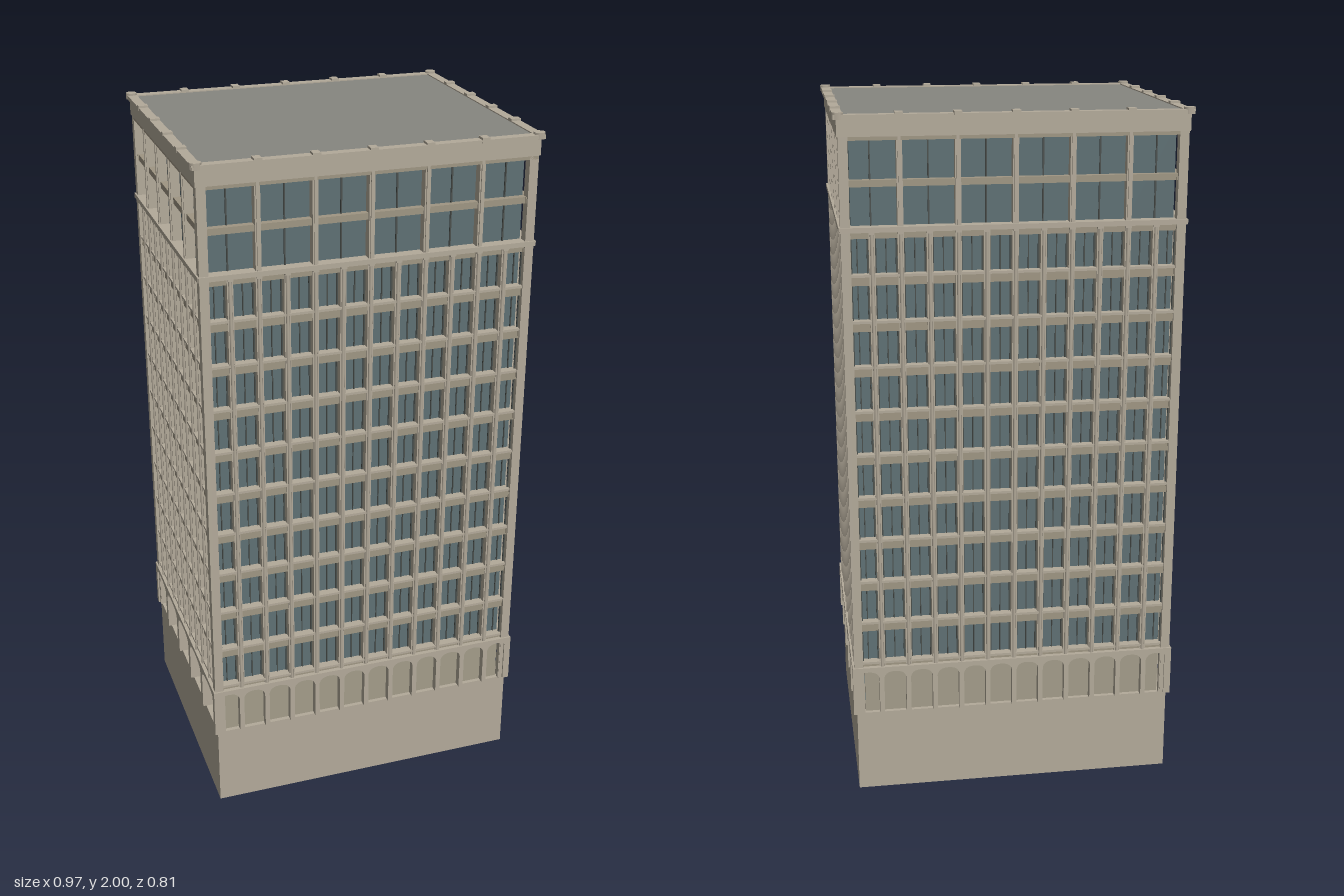
import * as THREE from 'three';

const mat = (color, side = THREE.FrontSide) => new THREE.MeshStandardMaterial({ color, side });
const stone = mat(0xb3aa9a), trim = mat(0x9f9683), infill = mat(0xa39c8a);
const glass = mat(0x5f7074), sash = mat(0x4a4f4c), roofGrey = mat(0x868680);

// Half extents of the pier faces, and how far the glass sits behind them
const HX = 0.472, HZ = 0.392, RECESS = 0.028;
const FLOOR = 0.128, TOP_BAND = 1.68, PLINTH = 0.25, ARCADE_TOP = 0.4;

function box(parent, name, material, w, h, d, x, y, z) {
  const mesh = new THREE.Mesh(new THREE.BoxGeometry(w, h, d), material);
  mesh.name = name;
  mesh.position.set(x, y, z);
  parent.add(mesh);
  return mesh;
}

// Ground arcade: a wall with a row of segmental arches cut up from its foot
function arcadeWall(width, arches, pier) {
  const pitch = width / arches, s = new THREE.Shape();
  s.moveTo(-width / 2, ARCADE_TOP);
  s.lineTo(-width / 2, PLINTH);
  for (let i = 0; i < arches; i++) {
    const a = -width / 2 + i * pitch + pier / 2, b = a + pitch - pier;
    s.lineTo(a, PLINTH);
    s.lineTo(a, 0.365);
    s.quadraticCurveTo(a + 0.004, 0.386, (a + b) / 2, 0.386);
    s.quadraticCurveTo(b - 0.004, 0.386, b, 0.365);
    s.lineTo(b, PLINTH);
  }
  s.lineTo(width / 2, PLINTH);
  s.lineTo(width / 2, ARCADE_TOP);
  return new THREE.ExtrudeGeometry(s, { depth: RECESS + 0.006, bevelEnabled: false, curveSegments: 5 });
}

// One facade, its pier faces lying on local z = 0 and looking along +z
function facade(half, bays, solidArcade) {
  const g = new THREE.Group();
  const width = half * 2, pitch = (width - 0.008) / bays;
  const mid = (TOP_BAND + ARCADE_TOP) / 2, shaft = TOP_BAND - ARCADE_TOP;

  // Arcade
  const arcade = new THREE.Mesh(
    arcadeWall(width, solidArcade ? bays : bays / 2, solidArcade ? 0.014 : 0.022), stone);
  arcade.name = 'arcade';
  arcade.position.z = -RECESS;
  g.add(arcade);
  if (solidArcade) box(g, 'arcadeInfill', infill, width - 0.06, 0.15, 0.01, 0, 0.325, -0.021);

  // Floor bands with a thin sill lip
  for (let k = 0; k <= 10; k++) {
    const y = TOP_BAND - k * FLOOR;
    box(g, 'spandrel', trim, width - 0.01, 0.03, 0.02, 0, y, -0.017);
    box(g, 'sill', stone, width - 0.01, 0.007, 0.025, 0, y + 0.012, -0.0145);
  }

  // Narrow piers, each with a rounded shaft on its face
  for (let i = 1; i < bays; i++) {
    const x = (i - bays / 2) * pitch;
    box(g, 'pier', stone, 0.017, shaft, RECESS - 0.004, x, mid, -0.016);
    const colonette = new THREE.Mesh(new THREE.CylinderGeometry(0.005, 0.005, shaft, 8), stone);
    colonette.name = 'colonette';
    colonette.position.set(x, mid, -0.003);
    g.add(colonette);
    box(g, 'pierCap', stone, 0.016, 0.014, 0.014, x, TOP_BAND + 0.004, -0.003);
    if (i % 2 && !solidArcade) box(g, 'arcadeMullion', stone, 0.008, 0.14, 0.016, x, 0.32, -0.019);
  }

  // Window sashes
  for (let i = 0; i < bays; i++) {
    const x = (i + 0.5 - bays / 2) * pitch;
    box(g, 'windowMullion', sash, 0.003, shaft, 0.004, x, mid, -RECESS + 0.002);
    for (const e of [-1, 1]) {
      box(g, 'windowFrame', sash, 0.004, shaft, 0.005, x + e * (pitch / 2 - 0.011), mid, -RECESS + 0.002);
    }
  }

  // Tall top storey
  box(g, 'topStoreyLedge', stone, width + 0.008, 0.014, 0.034, 0, 1.69, -0.011);
  box(g, 'topTransom', trim, width - 0.01, 0.018, 0.02, 0, 1.812, -0.018);
  for (let i = 0; i <= bays; i++) {
    const x = (i - bays / 2) * pitch;
    if (i % 2) {
      box(g, 'topMullion', sash, 0.004, 0.25, 0.005, x, 1.815, -RECESS + 0.002);
    } else if (i > 0 && i < bays) {
      box(g, 'topPier', stone, 0.016, 0.25, RECESS - 0.002, x, 1.815, -0.015);
      box(g, 'topPierRib', stone, 0.008, 0.25, 0.008, x, 1.815, -0.002);
      box(g, 'parapetBlock', stone, 0.022, 0.014, 0.028, x, 1.993, -0.001);
    }
  }
  return g;
}

export function createModel() {
  const model = new THREE.Group();
  model.name = 'officeTower';

  // Plain plinth and the glazed core
  box(model, 'plinth', stone, 0.936, PLINTH, 0.776, 0, PLINTH / 2, 0);
  box(model, 'glassCore', glass, 2 * (HX - RECESS), 1.7, 2 * (HZ - RECESS), 0, PLINTH + 0.85, 0);

  // Four facades
  const sides = [['front', 0, HX, HZ, 12], ['left', 1, HZ, HX, 10], ['back', 2, HX, HZ, 12], ['right', 3, HZ, HX, 10]];
  for (const [name, turn, half, dist, bays] of sides) {
    const side = new THREE.Group(), f = facade(half, bays, turn % 2 === 0);
    f.position.z = dist;
    side.rotation.y = turn * Math.PI / 2;
    side.name = name + 'Facade';
    side.add(f);
    model.add(side);
  }

  // Corner piers and parapet knobs
  for (const sx of [-1, 1]) for (const sz of [-1, 1]) {
    box(model, 'cornerPier', stone, 0.026, 1.69, 0.026, sx * (HX - 0.012), PLINTH + 0.845, sz * (HZ - 0.012));
    box(model, 'arcadeCorner', stone, 0.02, 0.15, 0.02, sx * (HX - 0.004), 0.325, sz * (HZ - 0.004));
    const knob = new THREE.Mesh(new THREE.CylinderGeometry(0.016, 0.016, 0.018, 8), stone);
    knob.name = 'cornerKnob';
    knob.position.set(sx * (HX - 0.001), 1.991, sz * (HZ - 0.001));
    knob.rotation.y = Math.PI / 8;
    model.add(knob);
  }

  // Cornice, parapet rim and roof
  box(model, 'cornice', stone, 2 * HX + 0.008, 0.048, 2 * HZ + 0.008, 0, 1.96, 0);
  box(model, 'corniceMoulding', trim, 2 * HX + 0.002, 0.012, 2 * HZ + 0.002, 0, 1.932, 0);
  const rect = (path, x, z) => path.moveTo(-x, -z).lineTo(x, -z).lineTo(x, z).lineTo(-x, z).closePath();
  const rimShape = rect(new THREE.Shape(), HX + 0.012, HZ + 0.012);
  rimShape.holes.push(rect(new THREE.Path(), 0.457, 0.377));
  const rim = new THREE.Mesh(new THREE.ExtrudeGeometry(rimShape, { depth: 0.012, bevelEnabled: false }), stone);
  rim.name = 'parapetRim';
  rim.rotation.x = -Math.PI / 2;
  rim.position.y = 1.982;
  model.add(rim);
  box(model, 'roof', roofGrey, 0.914, 0.01, 0.754, 0, 1.986, 0);
  return model;
}
